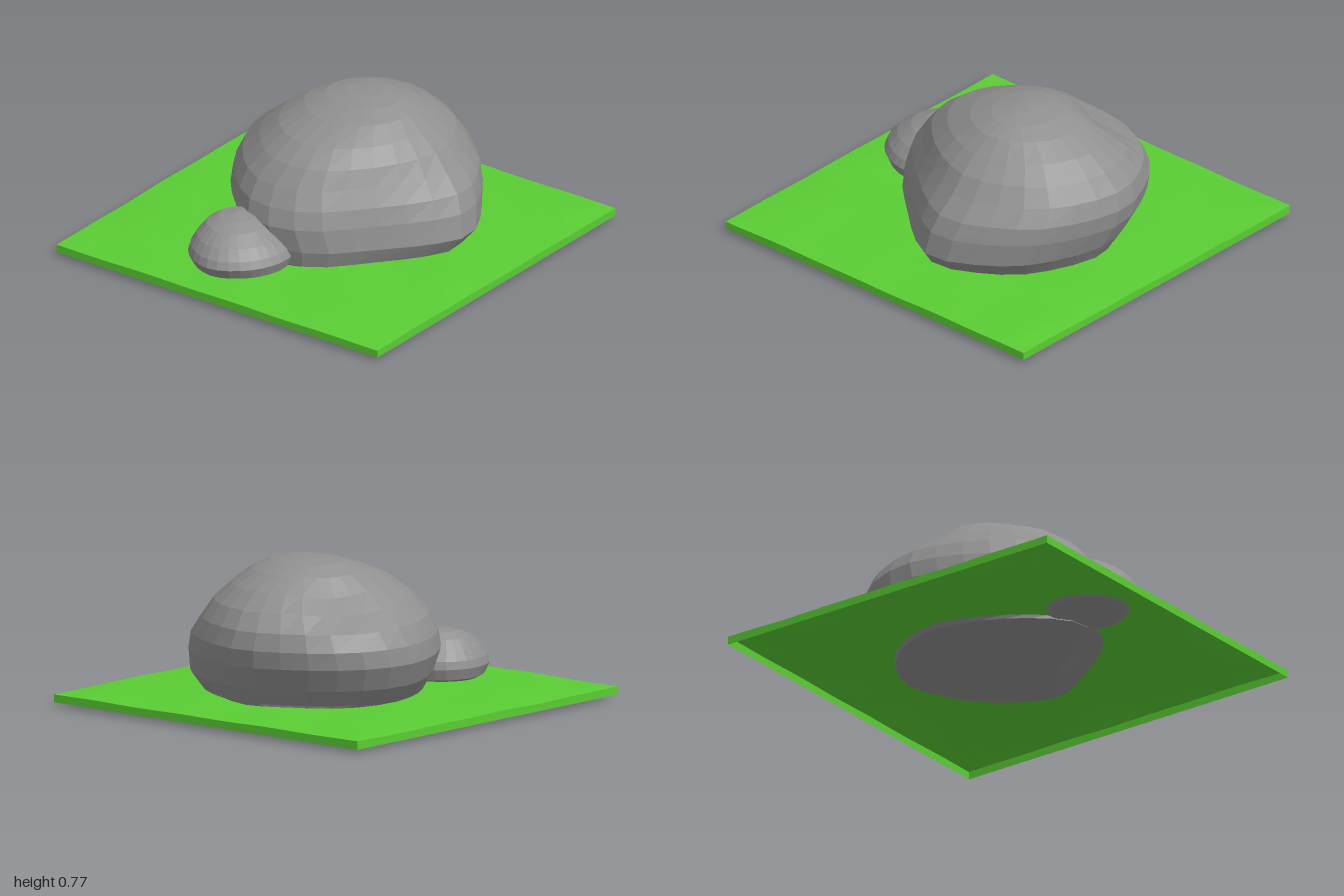
import * as THREE from 'three';

const grass = new THREE.MeshStandardMaterial({ color: 0x5acd34, flatShading: true, side: THREE.DoubleSide });
grass.name = 'grassGreen';
const stone = new THREE.MeshStandardMaterial({ color: 0x909090, flatShading: true });
stone.name = 'stoneGrey';

const SIDES = 28;

// Closed smooth plan outline, scaled to -1..1 on both axes
function unitOutline(points) {
  const curve = new THREE.CatmullRomCurve3(points.map(([x, z]) => new THREE.Vector3(x, 0, z)), true);
  const pts = curve.getSpacedPoints(SIDES).slice(0, SIDES);
  const box = new THREE.Box3().setFromPoints(pts);
  const mid = box.getCenter(new THREE.Vector3());
  const size = box.getSize(new THREE.Vector3());
  return pts.map((p) => [2 * (p.x - mid.x) / size.x, 2 * (p.z - mid.z) / size.z]);
}

// Stack of rings [y, xMin, xMax, zMin, zMax, roundness] closed by a bottom and a top point
function rockGeometry(outline, rings, bottom, top, shape = () => {}) {
  const pos = [];
  const index = [];
  for (const [y, x0, x1, z0, z1, round] of rings) {
    for (const [u, w] of outline) {
      const r = Math.hypot(u, w);
      const a = THREE.MathUtils.lerp(u, u / r, round);
      const b = THREE.MathUtils.lerp(w, w / r, round);
      const p = new THREE.Vector3((x0 + x1) / 2 + a * (x1 - x0) / 2, y, (z0 + z1) / 2 + b * (z1 - z0) / 2);
      shape(p);
      pos.push(p.x, p.y, p.z);
    }
  }
  const low = rings.length * SIDES;
  const last = low - SIDES;
  pos.push(...bottom, ...top);
  for (let i = 0; i < SIDES; i++) {
    const n = (i + 1) % SIDES;
    for (let j = 0; j < last; j += SIDES) {
      index.push(j + i, j + SIDES + i, j + n, j + n, j + SIDES + i, j + SIDES + n);
    }
    index.push(low, i, n, low + 1, last + n, last + i);
  }
  const g = new THREE.BufferGeometry();
  g.setAttribute('position', new THREE.Float32BufferAttribute(pos, 3));
  g.setIndex(index);
  g.computeVertexNormals();
  return g;
}

// Hollow grass tile: gently uneven sheet whose outer row folds down into the walls
function groundGeometry() {
  const n = 22;
  const g = new THREE.PlaneGeometry(2, 2, n, n).rotateX(-Math.PI / 2);
  const p = g.attributes.position;
  const place = (i) => THREE.MathUtils.clamp((2 * (i - 1)) / (n - 2) - 1, -1, 1);
  for (let k = 0; k < p.count; k++) {
    const i = k % (n + 1);
    const j = Math.floor(k / (n + 1));
    const x = place(i);
    const z = place(j);
    const rim = i === 0 || j === 0 || i === n || j === n;
    const edge = Math.max(Math.abs(x), Math.abs(z));
    const bump = 0.003 * Math.sin(9 * x + 4 * z) * Math.cos(7 * z - 3 * x);
    p.setXYZ(k, x, rim ? 0.02 : 0.073 - 0.012 * edge ** 6 + bump, z);
  }
  g.computeVertexNormals();
  return g;
}

export function createModel() {
  const group = new THREE.Group();
  const add = (name, geometry, material) => {
    const mesh = new THREE.Mesh(geometry, material);
    mesh.name = name;
    group.add(mesh);
  };

  add('grassTile', groundGeometry(), grass);

  // Large boulder: blunt wedge in plan, pointing forward, with a hollow high at the back
  const wedge = unitOutline([
    [0.14, -0.63], [0.4, -0.57], [0.59, -0.41], [0.71, -0.21], [0.775, 0], [0.72, 0.24],
    [0.59, 0.48], [0.43, 0.61], [0.235, 0.71], [0.14, 0.72], [-0.02, 0.64], [-0.26, 0.44],
    [-0.5, 0.21], [-0.57, 0], [-0.545, -0.16], [-0.42, -0.33], [-0.18, -0.52],
  ]);
  const hollow = new THREE.Vector3(0.36, 0.62, -0.36);
  const dent = (p) => {
    const d = p.distanceTo(hollow) / 0.17;
    const push = 0.06 * Math.exp(-d * d);
    p.x -= push * 0.4;
    p.y -= push * 0.6;
    p.z += push * 0.8;
  };
  add('largeBoulder', rockGeometry(wedge, [
    [0.055, -0.51, 0.62, -0.46, 0.47, 0],
    [0.085, -0.535, 0.65, -0.49, 0.65, 0],
    [0.17, -0.555, 0.705, -0.565, 0.72, 0],
    [0.29, -0.57, 0.76, -0.62, 0.7, 0],
    [0.38, -0.54, 0.775, -0.61, 0.66, 0.1],
    [0.47, -0.48, 0.75, -0.56, 0.58, 0.3],
    [0.56, -0.4, 0.68, -0.46, 0.51, 0.5],
    [0.64, -0.29, 0.58, -0.36, 0.42, 0.7],
    [0.71, -0.13, 0.45, -0.25, 0.33, 0.9],
    [0.75, 0.0, 0.34, -0.15, 0.24, 1],
    [0.768, 0.1, 0.24, -0.05, 0.14, 1],
  ], [-0.19, 0, 0.19], [0.17, 0.773, 0.05], dent), stone);

  // Small stone: flared base below a low off-centre dome
  const oval = unitOutline([
    [-0.62, -0.4], [-0.46, -0.34], [-0.37, -0.15], [-0.45, 0.07],
    [-0.6, 0.12], [-0.78, 0.05], [-0.89, -0.13], [-0.81, -0.32],
  ]);
  add('smallStone', rockGeometry(oval, [
    [0.06, -0.81, -0.43, -0.33, 0.04, 0],
    [0.085, -0.86, -0.38, -0.38, 0.1, 0],
    [0.14, -0.892, -0.36, -0.4, 0.12, 0],
    [0.18, -0.875, -0.37, -0.39, 0.1, 0],
    [0.23, -0.83, -0.41, -0.36, 0.05, 0.3],
    [0.28, -0.76, -0.46, -0.32, -0.02, 0.6],
    [0.31, -0.68, -0.5, -0.27, -0.09, 1],
  ], [-0.62, 0.058, -0.14], [-0.59, 0.325, -0.18]), stone);

  return group;
}
